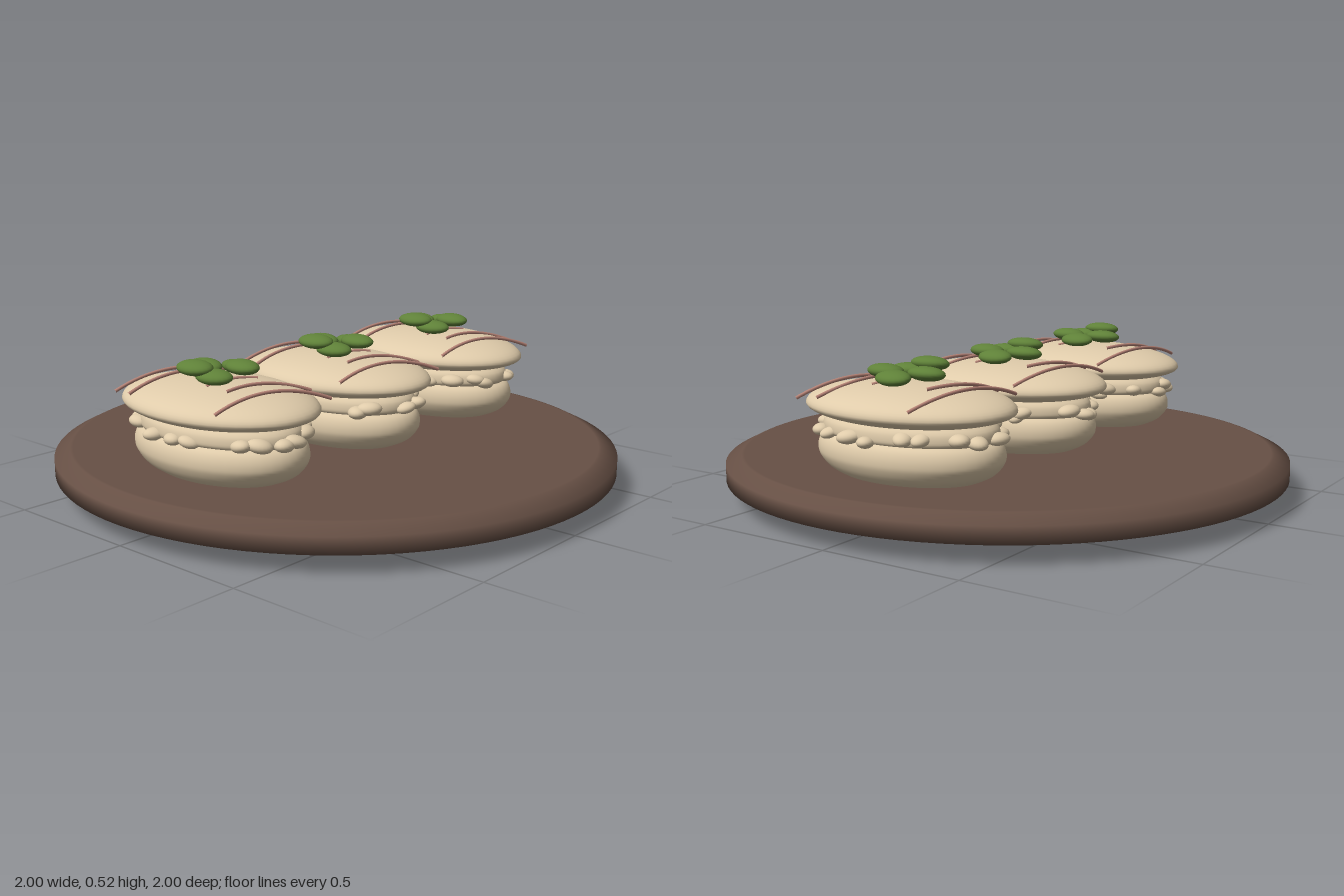
import * as THREE from 'three';

const mat = (name, color) => Object.assign(new THREE.MeshStandardMaterial({ color }), { name });

export function createModel() {
  const plateBrown = mat('plate brown', 0x675045);
  const cream = mat('bun cream', 0xdfcbaa);
  const sauce = mat('drizzle pink brown', 0xb98578);
  const green = mat('leaf green', 0x5f8138);

  const add = (parent, name, geo, material, pos = [0, 0, 0], scale = [1, 1, 1], rot = [0, 0, 0]) => {
    const m = new THREE.Mesh(geo, material);
    m.name = name;
    m.position.set(...pos);
    m.scale.set(...scale);
    m.rotation.set(...rot);
    parent.add(m);
  };
  const v2 = (p) => p.map(([x, y]) => new THREE.Vector2(x, y));

  const model = new THREE.Group();
  model.name = 'bunPlatter';

  // Round plate with a softly bevelled rim and tapered foot
  const plateProfile = v2([[0, 0], [0.71, 0], [1, 0.066], [1, 0.122], [0.945, 0.149], [0.935, 0.15], [0, 0.15]]);
  add(model, 'plate', new THREE.LatheGeometry(plateProfile, 96), plateBrown);

  // Bun profiles: radius as a fraction, real height
  const lowerCurve = new THREE.SplineCurve(v2([[0.74, 0.148], [0.89, 0.172], [0.98, 0.205], [1, 0.23],
    [0.985, 0.255], [0.94, 0.275], [0.85, 0.29]]));
  const lowerGeo = new THREE.LatheGeometry(
    [...v2([[0, 0.148]]), ...lowerCurve.getPoints(24), ...v2([[0, 0.31]])], 48);
  const coreCurve = new THREE.SplineCurve(v2([[0.9, 0.27], [0.98, 0.285], [1, 0.3], [0.98, 0.325], [0.9, 0.345]]));
  const coreGeo = new THREE.LatheGeometry(coreCurve.getPoints(12), 48);
  const topProfile = [];
  for (let i = 0; i <= 32; i++) {
    const a = (i / 32 - 0.5) * Math.PI;
    const h = Math.sin(a);
    topProfile.push(new THREE.Vector2(Math.max(0, Math.cos(a)), 0.375 + h * (h > 0 ? 0.08 : 0.057)));
  }
  const topGeo = new THREE.LatheGeometry(topProfile, 48);
  const ball = new THREE.SphereGeometry(1, 20, 14);

  // Drizzle strands: start x, z, end x, z, end heights and mid height
  const strands = [
    [-0.215, -0.265, 0.245, -0.18, 0.405, 0.405, 0.449],
    [-0.22, -0.19, 0.09, -0.135, 0.408, 0.449, 0.449],
    [-0.1, 0.045, 0.1, 0.075, 0.447, 0.447, 0.456],
    [-0.1, 0.137, 0.21, 0.21, 0.446, 0.408, 0.45],
    [-0.215, 0.205, 0.205, 0.302, 0.405, 0.397, 0.446],
  ].map(([x0, z0, x1, z1, y0, y1, ym]) => new THREE.TubeGeometry(
    new THREE.QuadraticBezierCurve3(
      new THREE.Vector3(x0, y0, z0),
      new THREE.Vector3((x0 + x1) / 2, 2 * ym - (y0 + y1) / 2, (z0 + z1) / 2 - 0.03),
      new THREE.Vector3(x1, y1, z1)), 24, 0.006, 8));

  // Leaves: x, y, z, yaw, roll
  const leaves = [
    [0.005, 0.482, -0.072, 0, 0.1],
    [-0.09, 0.5, -0.015, 0.1, 0.12],
    [0.09, 0.474, -0.005, -0.15, -0.15],
    [-0.068, 0.476, 0.05, 0.12, 0.1],
    [0.055, 0.488, 0.052, -0.08, 0.05],
  ];

  let seed = 7;
  const rand = () => (seed = (seed * 16807) % 2147483647) / 2147483647;

  for (const x of [-0.57, 0, 0.57]) {
    const bun = new THREE.Group();
    bun.name = 'filledBun';
    bun.position.x = x;
    model.add(bun);

    add(bun, 'lowerBun', lowerGeo, cream, [0, 0, 0], [0.224, 1, 0.342]);
    add(bun, 'fillingCore', coreGeo, cream, [0, 0, 0], [0.208, 1, 0.322]);
    add(bun, 'upperBun', topGeo, cream, [0, 0, 0], [0.262, 1, 0.378]);

    // Nuggets of filling around the gap
    const count = 18;
    for (let i = 0; i < count; i++) {
      const a = ((i + (rand() - 0.5) * 0.9) / count) * Math.PI * 2;
      const r = 0.97 + rand() * 0.06;
      const s = 0.9 + rand() * 0.25;
      add(bun, 'fillingNugget', ball, cream,
        [Math.cos(a) * 0.206 * r, 0.284 + rand() * 0.026, Math.sin(a) * 0.322 * r],
        [0.038 * s, 0.02 * s, 0.03 * s], [0, rand() * 3, (rand() - 0.5) * 0.5]);
    }

    for (const s of strands) add(bun, 'drizzle', s, sauce);

    for (const [lx, ly, lz, yaw, roll] of leaves) {
      add(bun, 'leaf', ball, green, [lx, ly, lz], [0.045, 0.024, 0.069], [0, yaw, roll]);
    }
  }
  return model;
}
